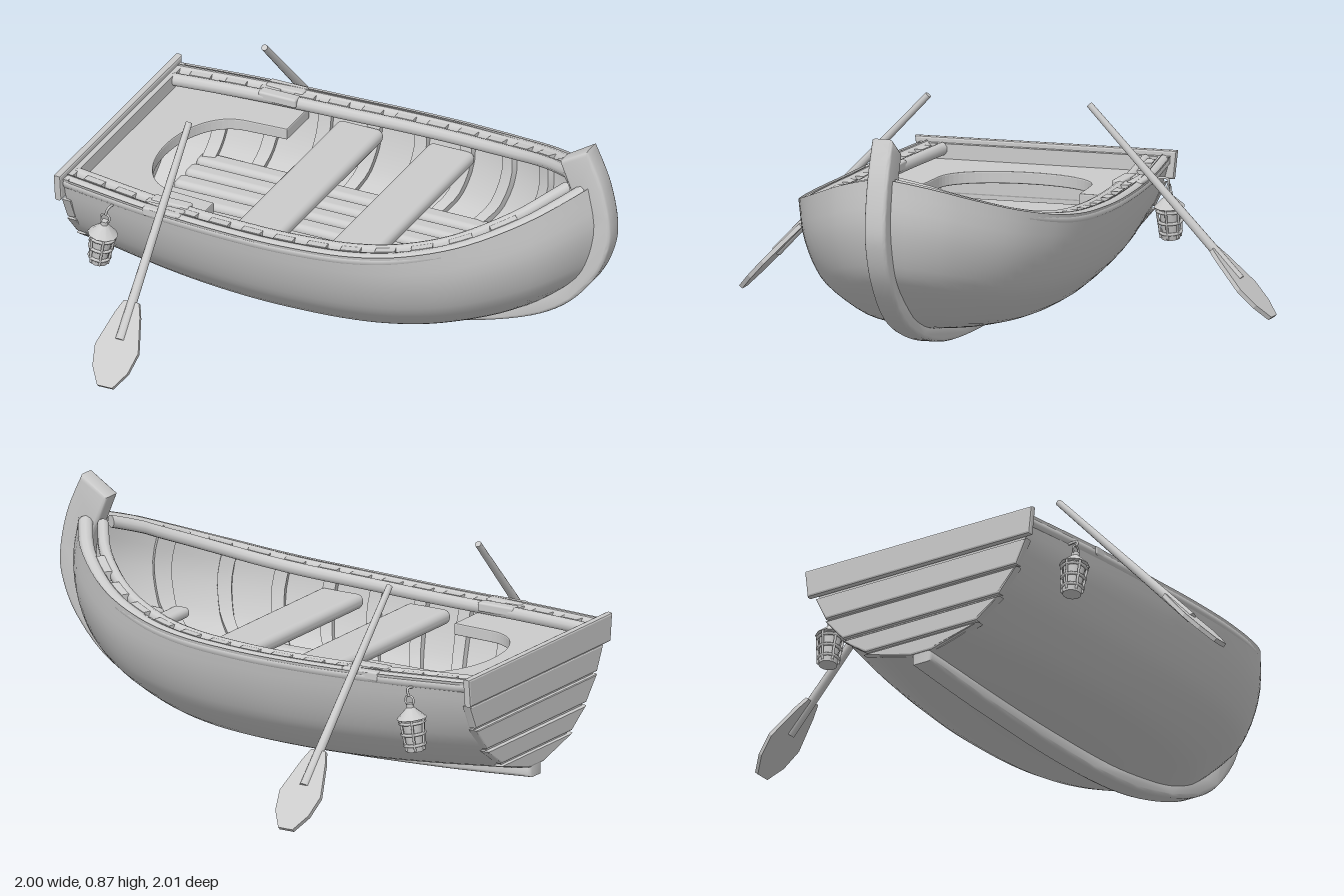
import * as THREE from 'three';
import { toCreasedNormals } from 'three/addons/utils/BufferGeometryUtils.js';
import { RoundedBoxGeometry } from 'three/addons/geometries/RoundedBoxGeometry.js';

const V3 = (x, y, z) => new THREE.Vector3(x, y, z);
const material = new THREE.MeshStandardMaterial({ color: 0xcccccc, side: THREE.DoubleSide });

function add(parent, name, geometry, x = 0, y = 0, z = 0) {
  const mesh = new THREE.Mesh(geometry, material);
  mesh.name = name;
  mesh.position.set(x, y, z);
  parent.add(mesh);
  return mesh;
}

// Smooth curve through [x, y] points, read as a function of x
function smooth(pts, x) {
  const last = pts.length - 1;
  let i = 0;
  while (i < last - 1 && x > pts[i + 1][0]) i++;
  const slope = k => {
    const a = pts[Math.max(0, k - 1)], b = pts[Math.min(last, k + 1)];
    return (b[1] - a[1]) / (b[0] - a[0]);
  };
  const [x0, y0] = pts[i], [x1, y1] = pts[i + 1], h = x1 - x0;
  const s = THREE.MathUtils.clamp((x - x0) / h, 0, 1), r = 1 - s;
  return y0 * (1 + 2 * s) * r * r + slope(i) * h * s * r * r
    + y1 * s * s * (3 - 2 * s) - slope(i + 1) * h * s * s * r;
}

// Hull lines: t runs stern to stem, v runs keel to gunwale
const BEAM = [[0, .472], [.195, .522], [.405, .546], [.51, .546], [.616, .53], [.72, .483], [.826, .39], [.93, .222], [.985, .07], [1, .01]];
const SHEER = [[0, .5], [.3, .49], [.5, .496], [.67, .518], [.8, .568], [.9, .635], [1, .727]];
const BOTTOM = [[0, .07], [.3, .053], [.55, .05], [.75, .06], [.9, .09], [1, .12]];
const SECTION = [[0, 0, .55], [.2, .012, .575], [.4, .05, .63], [.59, .13, .72], [.79, .34, .87], [.885, .52, .93], [.955, .75, .955], [1, 1, .93]];
const column = k => SECTION.map((p, i) => [i / (SECTION.length - 1), p[k]]);
const WIDTH = column(0), RISE = column(1), STEM = column(2);

function hullSkin(t, v) {
  const low = smooth(BOTTOM, t);
  const vee = 1 + .5 * Math.max(0, 1 - t / .45) ** 2;
  return V3(-.97 + t * (smooth(STEM, v) + .97),
    low + smooth(RISE, v) * (smooth(SHEER, t) - low),
    smooth(BEAM, t) * Math.max(0, smooth(WIDTH, v)) ** vee);
}

// Point at depth d inside the skin; the sign of v picks the side
function hull(t, v, d = 0) {
  const a = Math.abs(v), e = .01, p = hullSkin(t, a);
  if (d) {
    const along = hullSkin(Math.min(1, t + e), a).sub(hullSkin(Math.max(0, t - e), a));
    const up = hullSkin(t, Math.min(1, a + e)).sub(hullSkin(t, Math.max(0, a - e)));
    p.addScaledVector(along.cross(up).normalize(), -d);
    p.z = Math.max(0, p.z);
  }
  if (v < 0) p.z *= -1;
  return p;
}

// Surface from a rule fn(u, w), both 0..1
function surface(nu, nw, fn, crease = 0) {
  const pos = [], index = [];
  for (let i = 0; i <= nu; i++) for (let j = 0; j <= nw; j++) pos.push(...fn(i / nu, j / nw, i, j).toArray());
  for (let i = 0; i < nu; i++) for (let j = 0; j < nw; j++) {
    const a = i * (nw + 1) + j, b = a + nw + 1;
    index.push(a, a + 1, b, b, a + 1, b + 1);
  }
  const g = new THREE.BufferGeometry();
  g.setAttribute('position', new THREE.Float32BufferAttribute(pos, 3));
  g.setIndex(index);
  g.computeVertexNormals();
  return crease ? toCreasedNormals(g, crease) : g;
}

// Bar following the gunwale, closed at both ends
function gunwaleBar(side, t0, t1, inset, hw, hh, dy, n, sides) {
  return surface(n + 2, sides, (u, w, i) => {
    const t = t0 + (t1 - t0) * THREE.MathUtils.clamp((i - 1) / n, 0, 1);
    const p = hullSkin(t, 1);
    const d = hullSkin(Math.min(1, t + .01), 1).sub(hullSkin(Math.max(0, t - .01), 1));
    const out = V3(-d.z, 0, d.x).normalize();
    const k = i === 0 || i === n + 2 ? 0 : 1;
    const a = (w + .5 / sides) * Math.PI * 2;
    p.addScaledVector(out, Math.cos(a) * hw * k - inset);
    p.y += dy + Math.sin(a) * hh * k;
    p.z = side * Math.max(0, p.z);
    return p;
  }, .9);
}

function extrude(shape, depth, bevel = 0) {
  return new THREE.ExtrudeGeometry(shape, {
    depth, curveSegments: 16, bevelEnabled: bevel > 0, bevelSize: bevel, bevelThickness: bevel, bevelSegments: 2,
  });
}
const polygon = pts => new THREE.Shape(pts.map(p => new THREE.Vector2(...p)));

function buildOar(side) {
  const oar = new THREE.Group();
  oar.name = 'oar';
  add(oar, 'oarShaft', new THREE.CylinderGeometry(.012, .019, .83, 10), 0, .09, 0);
  const half = [[.03, -.18], [.05, -.23], [.086, -.36], [.07, -.44], [.03, -.505]];
  const outline = [...half, ...half.map(([x, y]) => [-x, y]).reverse()];
  add(oar, 'oarBlade', extrude(polygon(outline), .016), 0, 0, -.008);
  oar.position.set(-.545, .387, side * .65);
  oar.rotation.set(-side * Math.atan2(.7, .74), 0, .01);
  return oar;
}

function buildLantern(side) {
  const lantern = new THREE.Group();
  lantern.name = 'lantern';
  add(lantern, 'lanternCap', new THREE.CylinderGeometry(.014, .056, .04, 10), 0, .045, 0);
  add(lantern, 'lanternChimney', new THREE.CylinderGeometry(.014, .014, .015, 10), 0, .072, 0);
  add(lantern, 'lanternGlass', new THREE.CylinderGeometry(.04, .03, .11, 12), 0, -.03, 0);
  add(lantern, 'lanternBase', new THREE.CylinderGeometry(.037, .034, .02, 12), 0, -.085, 0);
  for (const [y, r] of [[.012, .046], [-.03, .042], [-.07, .038]])
    add(lantern, 'lanternHoop', new THREE.TorusGeometry(r, .006, 6, 16).rotateX(Math.PI / 2), 0, y, 0);
  for (let i = 0; i < 6; i++) {
    const a = i * Math.PI / 3, c = Math.cos(a), s = Math.sin(a);
    const path = new THREE.LineCurve3(V3(c * .036, -.09, s * .036), V3(c * .048, .025, s * .048));
    add(lantern, 'lanternBar', new THREE.TubeGeometry(path, 1, .005, 5));
  }
  add(lantern, 'lanternRing', new THREE.TorusGeometry(.018, .004, 6, 14), 0, .09, 0);
  const hook = new THREE.CatmullRomCurve3([V3(0, .105, 0), V3(.004, .13, 0), V3(.006, .13, -side * .05)]);
  add(lantern, 'lanternHook', new THREE.TubeGeometry(hook, 8, .005, 6));
  lantern.position.set(-.785, .33, side * .53);
  lantern.rotation.z = -.14;
  return lantern;
}

export function createModel() {
  const boat = new THREE.Group();
  boat.name = 'rowingBoat';

  // Hull skin and lining
  add(boat, 'hullOuter', surface(48, 44, (u, w) => hull(u, 2 * w - 1)));
  add(boat, 'hullInner', surface(48, 44, (u, w) => hull(u, 2 * w - 1, .03)));

  // Ribs hugging the lining
  for (let k = 0; k < 9; k++) {
    const t = .1 + k * .1;
    const corners = [[-.013, .02], [-.013, .055], [.013, .055], [.013, .02], [-.013, .02]];
    add(boat, 'rib', surface(32, 4, (u, w, i, j) => hull(t + corners[j][0], 1.94 * u - .97, corners[j][1]), .6));
  }

  // Keel sweeping up into the stem post
  const keel = new THREE.Shape();
  const curve = pts => keel.splineThru(pts.map(p => new THREE.Vector2(...p)));
  keel.moveTo(-.98, .035);
  curve([[-.6, .012], [-.1, 0], [.3, .025], [.6, .1], [.8, .2], [.93, .34], [.99, .47], [1, .58], [.97, .73], [.91, .87]]);
  keel.lineTo(.8, .8);
  keel.lineTo(.84, .7);
  curve([[.885, .58], [.87, .44], [.8, .33], [.65, .2], [.4, .11], [0, .075], [-.98, .08]]);
  const keelGeometry = new THREE.ExtrudeGeometry(keel, {
    depth: .056, curveSegments: 5, bevelSize: .012, bevelThickness: .012, bevelOffset: -.012, bevelSegments: 2,
  });
  add(boat, 'keelAndStem', toCreasedNormals(keelGeometry, .9), 0, 0, -.028);

  // Transom panel and its overlapping boards
  const section = Array.from({ length: 33 }, (_, i) => hull(0, i / 16 - 1)).map(p => [-p.z, p.y]);
  add(boat, 'transomPanel', extrude(polygon(section), .02).rotateY(Math.PI / 2), -.97);
  const sternHalf = y => {
    let v = 0;
    while (v < 1 && hullSkin(0, v).y < y) v += .01;
    return hullSkin(0, v).z;
  };
  [[.075, .138], [.14, .215], [.22, .312], [.317, .41], [.415, .52]].forEach(([low, high], i) => {
    const top = i === 4;
    const b = top ? .485 : sternHalf(high), a = top ? .475 : sternHalf(low);
    const board = polygon([[-a, low + .008], [a, low + .008], [b, high - .008], [-b, high - .008]]);
    add(boat, 'transomBoard', extrude(board, top ? .012 : .02, .008).rotateY(Math.PI / 2), top ? -.992 : -.976);
  });

  // Stern bench with a rounded cut-out
  const bench = new THREE.Shape();
  bench.moveTo(-.96, .42);
  bench.lineTo(-.7, .45);
  bench.lineTo(-.46, .465);
  bench.lineTo(-.46, .3);
  bench.lineTo(-.62, .29);
  bench.bezierCurveTo(-.74, .28, -.8, .14, -.8, 0);
  bench.bezierCurveTo(-.8, -.14, -.74, -.28, -.62, -.29);
  bench.lineTo(-.46, -.3);
  bench.lineTo(-.46, -.465);
  bench.lineTo(-.7, -.45);
  bench.lineTo(-.96, -.42);
  add(boat, 'sternBench', extrude(bench, .035, .005).rotateX(Math.PI / 2), 0, .44, 0);

  // Thwarts
  for (const x of [-.245, .12]) add(boat, 'thwart', new RoundedBoxGeometry(.185, .055, .95, 3, .025), x, .405, 0);

  // Floor slats and short bow boards
  [[.047, .62], [.14, .61], [.23, .53], [.32, .36]].forEach(([z, end]) => {
    for (const side of [1, -1])
      add(boat, 'floorSlat', new RoundedBoxGeometry(end + .82, .045, .072, 3, .021), (end - .82) / 2, .215, side * z);
  });
  for (const [x, length] of [[.65, .48], [.725, .38]])
    add(boat, 'bowBoard', new RoundedBoxGeometry(.068, .04, length, 3, .019), x, .33, 0);

  for (const side of [1, -1]) {
    // Double gunwale with spacer blocks between
    add(boat, 'outerRail', gunwaleBar(side, 0, .99, .027, .027, .024, -.02, 48, 10));
    add(boat, 'innerRail', gunwaleBar(side, 0, .985, .09, .022, .024, -.02, 48, 10));
    for (let k = 0; k < 13; k++)
      add(boat, 'spacerBlock', gunwaleBar(side, .03 + k * .07, .07 + k * .07, .06, .022, .026, -.018, 2, 4));
    // Oar rests
    for (const [z, width] of [[.495, .055], [.432, .045]])
      add(boat, 'oarRest', new RoundedBoxGeometry(.15, .035, width, 2, .008), -.555, .48, side * z);
    boat.add(buildOar(side), buildLantern(side));
  }
  return boat;
}
